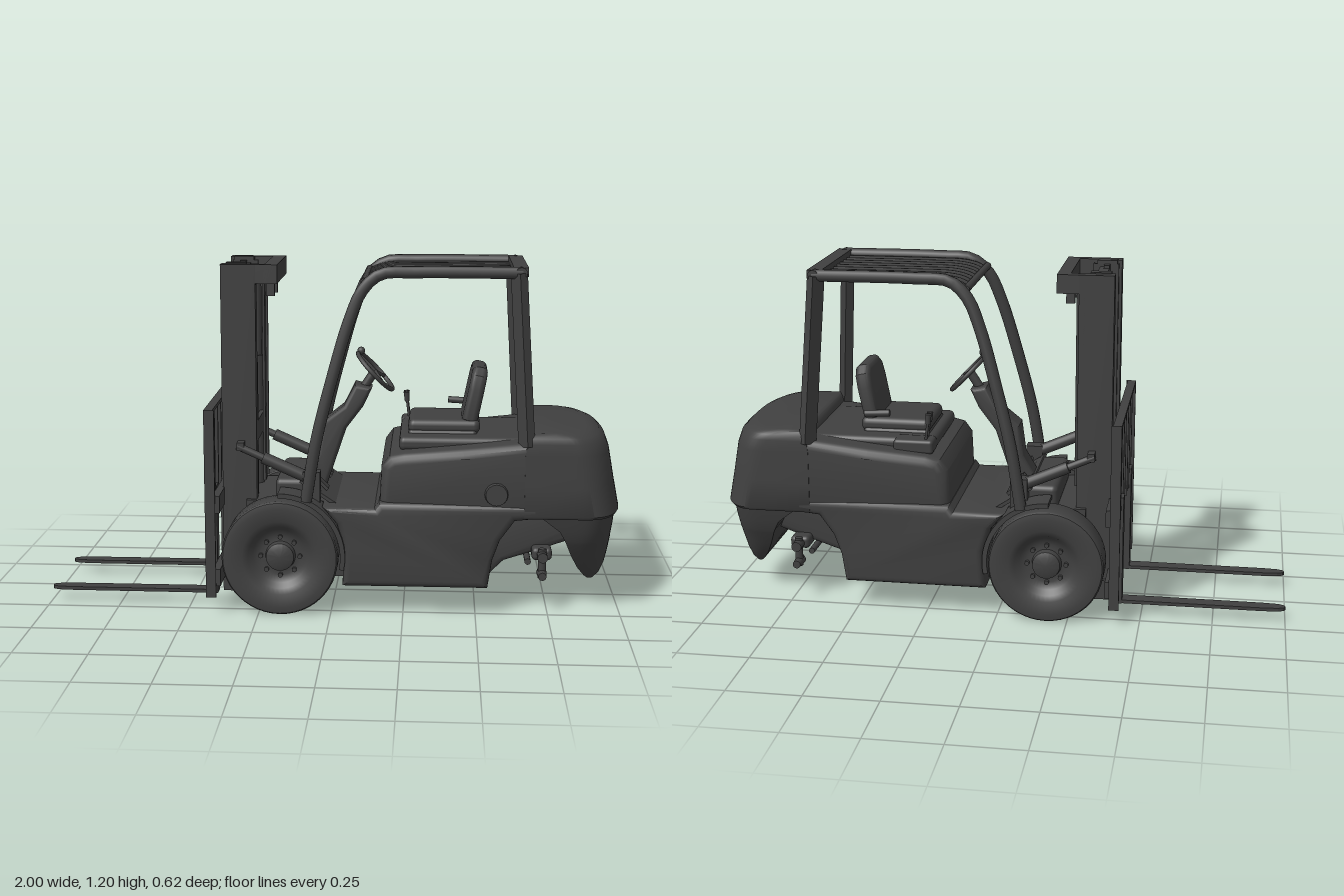
import * as THREE from 'three';
import { toCreasedNormals } from 'three/addons/utils/BufferGeometryUtils.js';
import { RoundedBoxGeometry } from 'three/addons/geometries/RoundedBoxGeometry.js';

const mat = new THREE.MeshStandardMaterial({ color: 0x404040 });
const V = (x, y, z) => new THREE.Vector3(x, y, z);

export function createModel() {
  const root = new THREE.Group();
  root.name = 'forklift';
  const add = (name, geo, x = 0, y = 0, z = 0) => {
    const m = new THREE.Mesh(geo, mat);
    m.name = name;
    m.position.set(x, y, z);
    root.add(m);
    return m;
  };
  // box given by its limits
  const box = (name, x0, x1, y0, y1, z0, z1) =>
    add(name, new THREE.BoxGeometry(x1 - x0, y1 - y0, Math.abs(z1 - z0)), (x0 + x1) / 2, (y0 + y1) / 2, (z0 + z1) / 2);
  const rbox = (name, w, h, d, r, x, y, z) => add(name, new RoundedBoxGeometry(w, h, d, 3, r), x, y, z);
  // round rod between two points
  const rod = (name, a, b, r, r2 = r) => {
    const m = add(name, new THREE.CylinderGeometry(r2, r, a.distanceTo(b), 16));
    m.position.lerpVectors(a, b, 0.5);
    m.quaternion.setFromUnitVectors(V(0, 1, 0), b.clone().sub(a).normalize());
    return m;
  };
  // square beam between two points
  const beam = (name, a, b, w, h) => {
    const m = add(name, new THREE.BoxGeometry(w, h, a.distanceTo(b)));
    m.position.lerpVectors(a, b, 0.5);
    m.lookAt(b);
  };
  const tube = (name, pts, r, sides) =>
    add(name, new THREE.TubeGeometry(new THREE.CatmullRomCurve3(pts), 40, r, sides));
  // side profile extruded across z, centred on zc
  const profile = (name, pts, zc, depth, bevel = 0) => {
    const shape = new THREE.Shape(pts.map(p => new THREE.Vector2(...p)));
    const g = new THREE.ExtrudeGeometry(shape, {
      depth: depth - 2 * bevel, bevelEnabled: bevel > 0, bevelSize: bevel,
      bevelThickness: bevel, bevelOffset: -bevel, bevelSegments: 4,
    });
    g.translate(0, 0, -depth / 2 + bevel);
    return add(name, toCreasedNormals(g, 0.6), 0, 0, zc);
  };
  // stacked plan outlines with a rounded back; rows are [y, front x, back x, half width, recess depth]
  const loft = (name, rows) => {
    const n = 36, pos = [];
    const rings = rows.map(([y, xf, xb, hz, dent = 0]) => {
      const xs = Math.max(xb - 0.14, xf + 0.005), ring = [V(xf, y, hz)];
      for (let i = 0; i <= n; i++) {
        const a = Math.PI / 2 - Math.PI * i / n, s = Math.sin(a);
        const z = hz * Math.sign(s) * Math.abs(s) ** 0.75;
        ring.push(V(xs + (xb - xs) * Math.max(0, Math.cos(a)) ** 0.75 - (Math.abs(z) < 0.09 ? dent : 0), y, z));
      }
      return [...ring, V(xf, y, -hz)];
    });
    const tri = (...p) => p.forEach(v => pos.push(v.x, v.y, v.z));
    const m = rings[0].length, low = rings[0], top = rings[rings.length - 1];
    const mid = r => V(0, 0, 0).lerpVectors(r[0], r[m - 1], 0.5);
    for (let j = 0; j < m; j++) {
      const k = (j + 1) % m;
      for (let i = 0; i + 1 < rings.length; i++) {
        tri(rings[i][j], rings[i][k], rings[i + 1][k]);
        tri(rings[i][j], rings[i + 1][k], rings[i + 1][j]);
      }
      tri(mid(top), top[j], top[k]);
      tri(mid(low), low[k], low[j]);
    }
    const g = new THREE.BufferGeometry();
    g.setAttribute('position', new THREE.Float32BufferAttribute(pos, 3));
    add(name, toCreasedNormals(g, 0.7));
  };

  // chassis, hood narrowing to the front, and the tail between the rear wheel arches
  profile('chassis', [[0.04, 0.1], [0.54, 0.1], [0.555, 0.2], [0.58, 0.27], [0.63, 0.34], [0.72, 0.35], [0.72, 0.4],
    [0.165, 0.4], [0.15, 0.38], [-0.03, 0.38], [0.02, 0.32], [0.045, 0.24]], 0, 0.575, 0.025);
  const hood = profile('hood', [[0.165, 0.36], [0.72, 0.36], [0.72, 0.62], [0.45, 0.59], [0.25, 0.57], [0.2, 0.558],
    [0.172, 0.52]], 0, 0.57, 0.035);
  const hp = hood.geometry.attributes.position;
  for (let i = 0; i < hp.count; i++) hp.setZ(i, hp.getZ(i) * (1 - 0.18 * Math.max(0, 0.5 - hp.getX(i))));
  hood.geometry = toCreasedNormals(hood.geometry, 0.6);
  profile('chassisTail', [[0.5, 0.11], [0.55, 0.11], [0.6, 0.16], [0.66, 0.18], [0.72, 0.2], [0.82, 0.235], [0.9, 0.3],
    [0.9, 0.36], [0.5, 0.36]], 0, 0.28, 0.02);
  box('frontChassis', -0.3, 0.06, 0.11, 0.38, -0.19, 0.19);
  rbox('cowl', 0.12, 0.09, 0.36, 0.02, -0.14, 0.41, 0);
  beam('toePlate', V(-0.11, 0.455, 0), V(0.01, 0.375, 0), 0.42, 0.012);
  rbox('hoodLid', 0.44, 0.05, 0.4, 0.02, 0.45, 0.588, 0);
  rod('fuelCap', V(0.565, 0.435, 0.26), V(0.565, 0.435, 0.295), 0.045, 0.037);

  // counterweight, full width above and tapering below, with a towing recess
  loft('counterweight', [[0.35, 0.66, 0.995, 0.28], [0.36, 0.66, 1.0, 0.287], [0.46, 0.66, 0.98, 0.287], [0.57, 0.66, 0.96, 0.286],
    [0.61, 0.665, 0.945, 0.285], [0.63, 0.67, 0.925, 0.282], [0.641, 0.68, 0.9, 0.275], [0.646, 0.69, 0.88, 0.26]]);
  loft('lowerCounterweight', [[0.1, 0.895, 0.925, 0.12], [0.115, 0.88, 0.945, 0.14], [0.15, 0.855, 0.96, 0.17],
    [0.2, 0.83, 0.97, 0.207], [0.205, 0.828, 0.971, 0.21, 0.025], [0.25, 0.81, 0.977, 0.237, 0.02],
    [0.262, 0.805, 0.978, 0.243], [0.3, 0.785, 0.983, 0.257], [0.352, 0.72, 0.988, 0.27]]);

  // steering axle under the rear arch
  rbox('steerAxle', 0.07, 0.045, 0.38, 0.015, 0.73, 0.2, 0);
  for (const s of [-1, 1]) {
    rod('kingPin', V(0.73, 0.12, s * 0.2), V(0.73, 0.225, s * 0.2), 0.014);
    rod('steerHub', V(0.73, 0.135, s * 0.18), V(0.73, 0.135, s * 0.24), 0.018, 0.014);
    rod('axleEnd', V(0.73, 0.2, s * 0.18), V(0.73, 0.2, s * 0.235), 0.018);
    rod('trackRod', V(0.68, 0.18, 0), V(0.68, 0.18, s * 0.21), 0.011);
  }

  // drive wheels: tyre, dished rim, nuts and mudguard
  const wheelPts = [[0, -0.055], [0.17, -0.055], [0.196, -0.054], [0.201, -0.047], [0.201, 0.046], [0.196, 0.053], [0.175, 0.056],
    [0.13, 0.05], [0.11, 0.042], [0.095, 0.02], [0.07, 0.01], [0.052, 0.012], [0.048, 0.035], [0.03, 0.042], [0, 0.042]];
  const onWheel = (r, a) => [-0.175 + r * Math.cos(a), 0.203 + r * Math.sin(a)];
  const arc = Array.from({ length: 15 }, (_, i) => -0.2 + 1.8 * i / 14);
  for (const s of [-1, 1]) {
    const g = toCreasedNormals(new THREE.LatheGeometry(wheelPts.map(p => new THREE.Vector2(...p)), 48), 0.7);
    add('frontWheel', g, -0.175, 0.203, s * 0.254).rotation.x = s * Math.PI / 2;
    for (let i = 0; i < 8; i++) {
      const p = onWheel(0.068, i * Math.PI / 4);
      rod('wheelNut', V(...p, s * 0.255), V(...p, s * 0.278), 0.008);
    }
    profile('mudguard', [...arc.map(a => onWheel(0.208, a)), ...arc.toReversed().map(a => onWheel(0.225, a))], s * 0.238, 0.1);
  }
  rod('frontAxle', V(-0.175, 0.203, -0.22), V(-0.175, 0.203, 0.22), 0.07);

  // mast: nested channels, cylinders, hoses and tilt rams
  for (const s of [-1, 1]) {
    box('outerMastWeb', -0.385, -0.265, 0.06, 1.2, s * 0.158, s * 0.172);
    box('outerMastFrontFlange', -0.385, -0.37, 0.06, 1.2, s * 0.125, s * 0.172);
    box('outerMastRearFlange', -0.285, -0.265, 0.06, 1.13, s * 0.125, s * 0.172);
    box('innerMastWeb', -0.375, -0.285, 0.08, 1.19, s * 0.105, s * 0.12);
    box('innerMastFlange', -0.345, -0.325, 0.08, 1.19, s * 0.07, s * 0.15);
    rod('liftCylinder', V(-0.29, 0.1, s * 0.09), V(-0.29, 0.85, s * 0.09), 0.023);
    rod('liftRod', V(-0.29, 0.85, s * 0.09), V(-0.29, 1.14, s * 0.09), 0.017);
    rod('hose', V(-0.25, 0.42, s * 0.053), V(-0.25, 1.14, s * 0.053), 0.005);
    box('hoseClamp', -0.24, -0.21, 1.08, 1.14, s * 0.043, s * 0.063);
    box('mastTopPlate', -0.385, -0.19, 1.135, 1.2, s * 0.14, s * 0.172);
    box('mastTopBolt', -0.37, -0.3, 1.19, 1.203, s * 0.1, s * 0.135);
    box('mastFoot', -0.385, -0.26, 0.05, 0.12, s * 0.13, s * 0.19);
    rod('tiltCylinder', V(-0.24, 0.535, s * 0.2), V(-0.07, 0.46, s * 0.2), 0.021);
    rod('tiltRod', V(-0.33, 0.575, s * 0.2), V(-0.24, 0.535, s * 0.2), 0.013);
    box('tiltBracket', -0.33, -0.305, 0.56, 0.588, s * 0.16, s * 0.212);
    box('tiltAnchor', -0.1, -0.04, 0.37, 0.49, s * 0.175, s * 0.225);
  }
  box('mastTopBeam', -0.235, -0.19, 1.135, 1.2, -0.172, 0.172);
  box('innerMastTopBeam', -0.345, -0.31, 1.13, 1.18, -0.13, 0.13);
  box('mastMidBeam', -0.28, -0.265, 0.58, 0.65, -0.172, 0.172);
  box('mastLowBeam', -0.3, -0.265, 0.06, 0.14, -0.172, 0.172);
  rod('centreCylinder', V(-0.33, 0.1, 0), V(-0.33, 0.5, 0), 0.035);

  // carriage, load backrest and forks
  box('carriageTopBar', -0.405, -0.38, 0.36, 0.42, -0.305, 0.305);
  box('carriageLowBar', -0.405, -0.38, 0.1, 0.16, -0.305, 0.305);
  box('backrestTopBar', -0.43, -0.4, 0.708, 0.72, -0.31, 0.31);
  const blade = new THREE.Shape([[-0.405, -0.026], [-0.92, -0.024], [-0.975, -0.02], [-0.995, -0.011], [-1, 0],
    [-0.995, 0.011], [-0.975, 0.02], [-0.92, 0.024], [-0.405, 0.026]].map(p => new THREE.Vector2(...p)));
  for (const s of [-1, 1]) {
    box('backrestPost', -0.43, -0.395, 0.06, 0.72, s * 0.301, s * 0.311);
    for (const z of [0.05, 0.13, 0.215]) box('backrestBar', -0.425, -0.405, 0.36, 0.71, s * z - 0.006, s * z + 0.006);
    box('carriagePlate', -0.4, -0.37, 0.1, 0.42, s * 0.08, s * 0.12);
    box('forkShank', -0.432, -0.405, 0.04, 0.43, s * 0.142, s * 0.194);
    const g = new THREE.ExtrudeGeometry(blade, { depth: 0.012, bevelEnabled: false });
    add('forkBlade', g.rotateX(-Math.PI / 2), 0, 0.041, s * 0.168);
  }

  // overhead guard
  for (const s of [-1, 1]) {
    tube('guardFrontLeg', [V(-0.085, 0.4, s * 0.276), V(-0.05, 0.61, s * 0.27), V(0.002, 0.82, s * 0.256), V(0.06, 1.02, s * 0.238),
      V(0.105, 1.123, s * 0.228), V(0.165, 1.175, s * 0.22), V(0.28, 1.182, s * 0.218), V(0.64, 1.182, s * 0.218)], 0.021, 10);
    beam('guardRearLeg', V(0.664, 0.6, s * 0.268), V(0.628, 1.18, s * 0.22), 0.032, 0.05);
    rod('guardCornerCap', V(0.635, 1.182, s * 0.2), V(0.635, 1.182, s * 0.236), 0.02);
  }
  rod('guardFrontBar', V(0.11, 1.15, -0.225), V(0.11, 1.15, 0.225), 0.013);
  box('guardRearBar', 0.61, 0.66, 1.17, 1.2, -0.22, 0.22);
  for (let z = -0.18; z < 0.19; z += 0.045)
    tube('guardSlat', [V(0.11, 1.148, z), V(0.14, 1.163, z), V(0.19, 1.173, z), V(0.3, 1.175, z), V(0.64, 1.175, z)], 0.008, 6);

  // seat
  rbox('seatBase', 0.24, 0.04, 0.26, 0.015, 0.38, 0.605, 0);
  rbox('seatCushion', 0.25, 0.05, 0.25, 0.022, 0.385, 0.635, 0);
  const back = profile('seatBack', [[-0.115, -0.08], [-0.09, -0.105], [0.09, -0.105], [0.115, -0.08], [0.118, 0.03],
    [0.108, 0.08], [0.075, 0.106], [-0.075, 0.106], [-0.108, 0.08], [-0.118, 0.03]], 0, 0.055, 0.02);
  back.position.set(0.49, 0.735, 0);
  back.rotation.set(0, Math.PI / 2, -0.2, 'ZYX');
  rod('armrest', V(0.4, 0.685, -0.14), V(0.49, 0.68, -0.14), 0.012);

  // control levers
  rbox('leverConsole', 0.14, 0.05, 0.08, 0.012, 0.3, 0.59, -0.19);
  for (const z of [-0.175, -0.205]) {
    rod('lever', V(0.26, 0.6, z), V(0.25, 0.68, z), 0.005);
    rod('leverKnob', V(0.25, 0.67, z), V(0.248, 0.705, z), 0.008, 0.011);
  }

  // steering column, wheel and pedals
  profile('steeringColumn', [[-0.13, 0.4], [-0.06, 0.52], [-0.045, 0.63], [0.03, 0.69], [0.07, 0.77], [0.13, 0.755],
    [0.1, 0.69], [0.04, 0.61], [0, 0.49], [-0.03, 0.4]], 0, 0.1, 0.015);
  rod('steeringShaft', V(0.08, 0.72, 0), V(0.135, 0.805, 0), 0.016);
  const rim = add('steeringRim', new THREE.TorusGeometry(0.088, 0.008, 10, 40), 0.14, 0.81, 0);
  rim.quaternion.setFromUnitVectors(V(0, 0, 1), V(0.72, 0.69, 0).normalize());
  for (const a of [0, 2.1, 4.2]) {
    const out = V(-0.69 * Math.cos(a), 0.72 * Math.cos(a), Math.sin(a)).multiplyScalar(0.088);
    rod('steeringSpoke', rim.position, out.add(rim.position), 0.006);
  }
  add('steeringKnob', new THREE.SphereGeometry(0.014, 16, 12), 0.09, 0.882, 0);
  for (const z of [-0.13, -0.08, 0.12]) beam('pedal', V(-0.07, 0.46, z), V(-0.02, 0.41, z), 0.045, 0.012);
  return root;
}
